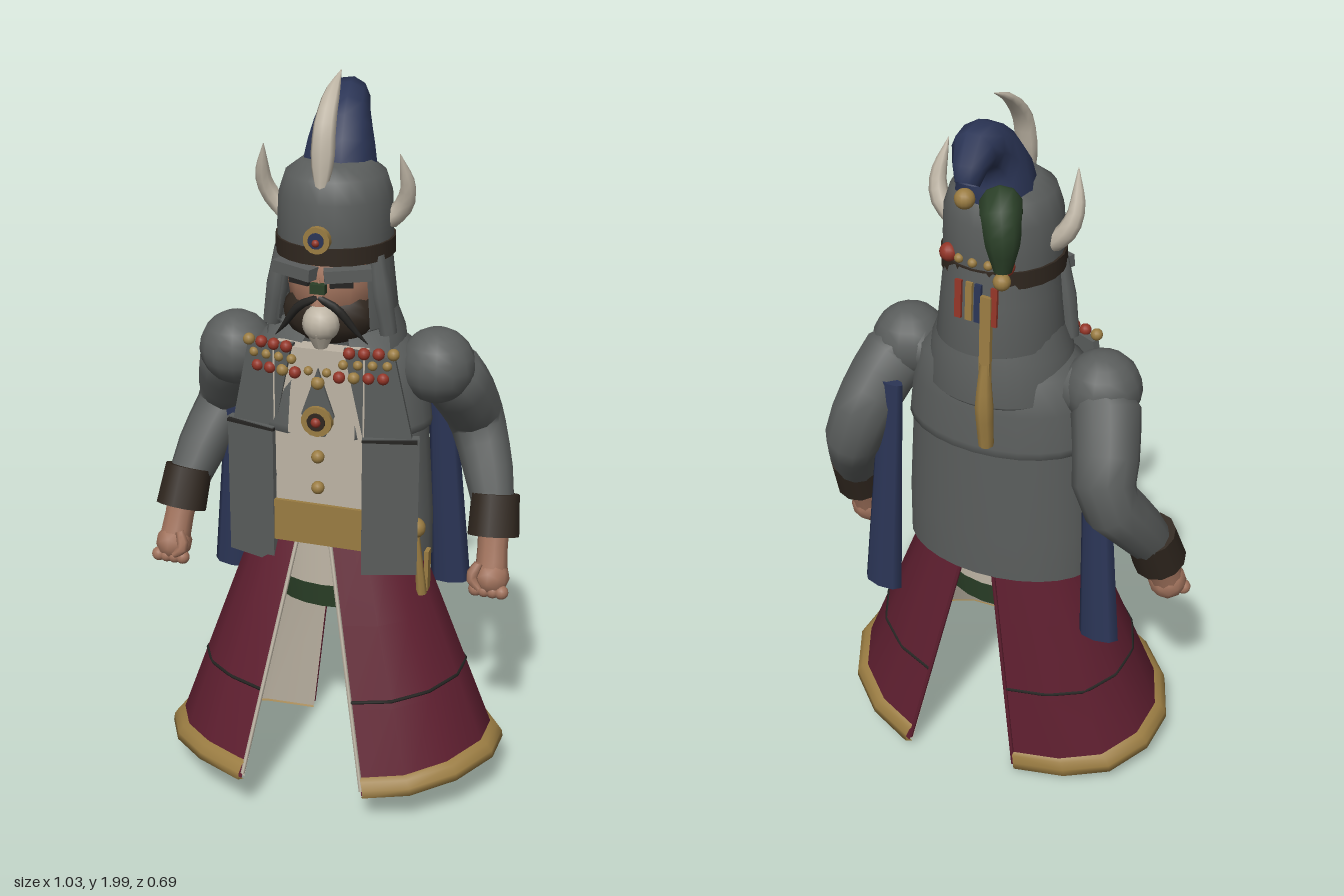
import * as THREE from 'three';
import { mergeVertices } from 'three/addons/utils/BufferGeometryUtils.js';

const V = (p) => new THREE.Vector3(...p);
const V2 = (p) => new THREE.Vector2(...p);
const flat = (name, color) => {
  const m = new THREE.MeshStandardMaterial({ color, side: THREE.DoubleSide });
  m.name = name;
  return m;
};

export function createModel() {
  const grey = flat('grey cloth', 0x5a5d5c), red = flat('wine red', 0x5f1f30);
  const gold = flat('gold', 0x9a7c42), blue = flat('blue', 0x2b3556);
  const cream = flat('cream', 0xbdb4a4), brown = flat('dark brown', 0x30271f);
  const skin = flat('skin', 0xa0725c), green = flat('green', 0x2b4028);
  const bead = flat('bead red', 0x933527), dark = flat('dark line', 0x252422);
  const model = new THREE.Group();

  const add = (name, geo, mat, pos = [0, 0, 0], rot = [0, 0, 0], scale = [1, 1, 1]) => {
    const m = new THREE.Mesh(geo, mat);
    m.name = name;
    m.position.set(...pos);
    m.rotation.set(...rot);
    m.scale.set(...scale);
    model.add(m);
    return m;
  };
  const ball = (name, mat, pos, r, scale) => add(name, new THREE.SphereGeometry(r, 14, 10), mat, pos, [0, 0, 0], scale);
  const box = (name, mat, pos, size, rot) => add(name, new THREE.BoxGeometry(...size), mat, pos, rot);
  const disc = (name, mat, pos, r, d) => add(name, new THREE.CylinderGeometry(r, r, d, 14), mat, pos, [Math.PI / 2, 0, 0]);
  const plate = (name, mat, pts, depth, pos, rot) =>
    add(name, new THREE.ExtrudeGeometry(new THREE.Shape(pts.map(V2)), { depth, bevelEnabled: false }), mat, pos, rot);
  // Tube through points whose radius follows a list
  const limb = (name, mat, pts, radii, sides = 10, n = 14) => {
    const curve = new THREE.CatmullRomCurve3(pts.map(V));
    const geo = new THREE.TubeGeometry(curve, n, 1, sides);
    const p = geo.attributes.position, v = new THREE.Vector3();
    for (let i = 0; i <= n; i++) {
      const c = curve.getPointAt(i / n), f = (i / n) * (radii.length - 1), k = Math.min(Math.floor(f), radii.length - 2);
      const r = Math.max(THREE.MathUtils.lerp(radii[k], radii[k + 1], f - k), 0.0005);
      for (let j = 0; j <= sides; j++) {
        const id = i * (sides + 1) + j;
        v.fromBufferAttribute(p, id).sub(c).multiplyScalar(r).add(c);
        p.setXYZ(id, v.x, v.y, v.z);
      }
    }
    geo.deleteAttribute('uv');
    geo.deleteAttribute('normal');
    const g = mergeVertices(geo, 1e-5);
    g.computeVertexNormals();
    return add(name, g, mat);
  };
  // Lathe with a gap of half-angle "gap" at the front
  const wrap = (name, mat, profile, gap, zScale, z, rotY = 0) =>
    add(name, new THREE.LatheGeometry(profile.map(V2), 24, gap, Math.PI * 2 - 2 * gap),
      mat, [0, 0, z], [0, rotY, 0], [1, 1, zScale]);

  // Skirt halves: sheets between a waist curve and a hem curve
  const skirt = (side, top, hem) => {
    const a = new THREE.CatmullRomCurve3(top.map(V)), b = new THREE.CatmullRomCurve3(hem.map(V));
    const at = (u, t) => a.getPoint(u).lerp(b.getPoint(u), t);
    const N = 7;
    // section: list of [position down the skirt, inset]
    const sheet = (name, mat, section) => {
      const pos = [], idx = [], M = section.length - 1;
      for (let i = 0; i <= N; i++) section.forEach(([t, inset], j) => {
        const q = at(i / N, t);
        pos.push(q.x * (1 - inset), q.y, -0.05 + (q.z + 0.05) * (1 - inset));
        if (i < N && j < M) {
          const k = i * (M + 1) + j, l = k + M + 1;
          if (side > 0) idx.push(k, k + 1, l, k + 1, l + 1, l);
          else idx.push(k, l, k + 1, k + 1, l, l + 1);
        }
      });
      const g = new THREE.BufferGeometry();
      g.setAttribute('position', new THREE.Float32BufferAttribute(pos, 3));
      g.setIndex(idx);
      g.computeVertexNormals();
      add(name, g, mat);
    };
    sheet('skirtCloth', red, [[0, 0], [0.33, 0], [0.66, 0], [1, 0]]);
    sheet('skirtLining', cream, [[0, 0.03], [0.5, 0.03], [1, 0.03]]);
    sheet('skirtHem', gold, [[0.925, 0], [0.935, -0.035], [0.965, -0.05], [0.995, -0.04], [1.01, 0.03]]);
    const row = Array.from({ length: N + 1 }, (_, i) => at(i / N, 0.63));
    add('skirtSeam', new THREE.TubeGeometry(new THREE.CatmullRomCurve3(row, false, 'catmullrom', 0), 28, 0.005, 5), dark);
    for (const u of [0, 1])
      add('skirtEdge', new THREE.TubeGeometry(new THREE.LineCurve3(at(u, 0), at(u, 0.98)), 2, 0.006, 5), u ? red : cream);
  };
  skirt(1,
    [[0.03, 0.77, 0.065], [0.12, 0.77, 0.05], [0.18, 0.77, 0.015], [0.212, 0.77, -0.05], [0.212, 0.77, -0.12], [0.18, 0.77, -0.18], [0.12, 0.77, -0.215], [0.03, 0.77, -0.23]],
    [[0.185, 0.105, 0.265], [0.305, 0.12, 0.235], [0.41, 0.135, 0.15], [0.48, 0.145, 0.03], [0.48, 0.13, -0.1], [0.415, 0.1, -0.22], [0.305, 0.07, -0.3], [0.18, 0.045, -0.335]]);
  skirt(-1,
    [[-0.06, 0.77, 0.07], [-0.13, 0.77, 0.055], [-0.18, 0.77, 0.02], [-0.212, 0.77, -0.04], [-0.212, 0.77, -0.11], [-0.18, 0.77, -0.17], [-0.12, 0.77, -0.205], [-0.035, 0.77, -0.225]],
    [[-0.14, 0.14, 0.33], [-0.275, 0.135, 0.265], [-0.375, 0.12, 0.175], [-0.435, 0.1, 0.06], [-0.435, 0.08, -0.06], [-0.375, 0.055, -0.17], [-0.265, 0.035, -0.23], [-0.125, 0.02, -0.26]]);

  // Tunic under the skirt
  add('tunic', new THREE.CylinderGeometry(0.17, 0.18, 0.2, 20), cream, [0, 0.71, -0.085], [0, 0, 0], [1, 1, 0.72]);
  add('tunicBand', new THREE.CylinderGeometry(0.182, 0.17, 0.07, 20), green, [0, 0.583, -0.085], [0, 0, 0], [1, 1, 0.72]);

  // Coat, jacket and shirt
  wrap('coat', grey, [[0.275, 0.69], [0.273, 0.82], [0.255, 1.09]], 0.5, 0.64, -0.085, 0.06);
  wrap('jacket', grey, [[0.25, 1.08], [0.264, 1.08], [0.262, 1.1], [0.25, 1.2], [0.225, 1.29], [0.16, 1.34], [0.06, 1.36]], 0.35, 0.66, -0.085, 0.06);
  box('shirt', cream, [0, 1.08, 0.045], [0.25, 0.48, 0.05]);
  box('sash', gold, [0, 0.82, 0.05], [0.255, 0.12, 0.06]);
  for (const s of [-1, 1]) {
    box('coatFront', grey, [s * 0.192, 0.89, 0.05], [0.15, 0.4, 0.022], [0, s * 0.3, 0]);
    plate('jacketFront', grey, [[s * 0.068, 1.33], [s * 0.2, 1.31], [s * 0.25, 1.08], [s * 0.12, 1.08]], 0.022, [0, 0, 0.072], [0, s * 0.2, 0]);
    box('jacketSeam', dark, [s * 0.19, 1.083, 0.052], [0.145, 0.008, 0.032], [0, s * 0.22, 0]);
  }
  // Pendant and buttons
  plate('pendantPlate', grey, [[0, 0.1], [0.045, -0.03], [0.02, -0.09], [-0.02, -0.09], [-0.045, -0.03]], 0.008, [0, 1.17, 0.07]);
  disc('pendant', gold, [0, 1.125, 0.08], 0.042, 0.02);
  disc('pendantRing', brown, [0, 1.125, 0.09], 0.025, 0.008);
  ball('pendantStone', bead, [0, 1.125, 0.092], 0.014);
  for (const y of [1.23, 1.02, 0.93]) ball('button', gold, [0, y, 0.076], 0.018);

  // Bead collar in three rows on each side
  for (const s of [-1, 1])
    [[1.322, 0.085], [1.29, 0.07], [1.255, 0.06]].forEach(([y, x0], r) => {
      for (let i = 0; i < 4; i++) {
        const x = x0 + i * 0.037;
        ball('collarBead', r === 1 || i === 3 - r ? gold : bead, [s * x, y, 0.096 - x * 0.22], r === 1 ? 0.013 : 0.016);
      }
    });
  for (const x of [-0.025, 0.025]) ball('collarBead', gold, [x, 1.262, 0.078], 0.012);

  // Arms with cuffs and fists
  const arms = [
    [1, [[0.2, 1.25, -0.1], [0.28, 1.24, -0.11], [0.33, 1.13, -0.205], [0.35, 1.04, -0.262], [0.395, 0.93, -0.215], [0.435, 0.81, -0.15]], [0.445, 0.65, -0.09]],
    [-1, [[-0.2, 1.25, -0.08], [-0.28, 1.24, -0.08], [-0.335, 1.13, -0.155], [-0.36, 1.04, -0.205], [-0.405, 0.93, -0.14], [-0.44, 0.81, -0.06]], [-0.455, 0.66, 0.0]],
  ];
  for (const [s, pts, h] of arms) {
    limb('sleeve', grey, pts, [0.07, 0.09, 0.085, 0.078, 0.07, 0.056], 12, 10);
    ball('shoulder', grey, [s * 0.275, 1.25, pts[1][2] + 0.015], 0.102);
    const c = V(pts[5]), dir = V(h).sub(c).normalize();
    const cuff = add('cuff', new THREE.CylinderGeometry(0.067, 0.072, 0.115, 12), brown, c.toArray());
    cuff.quaternion.setFromUnitVectors(new THREE.Vector3(0, -1, 0), dir);
    limb('wrist', skin, [pts[5], V(h).lerp(c, 0.45).toArray(), h], [0.045, 0.042, 0.045], 10, 4);
    add('fist', new THREE.IcosahedronGeometry(0.052, 1), skin, h);
    for (let i = 0; i < 4; i++) ball('finger', skin, [h[0] - 0.036 + i * 0.024, h[1] - 0.03, h[2] + 0.028], 0.02);
    limb('thumb', skin, [[h[0] - s * 0.03, h[1] + 0.05, h[2] + 0.03], [h[0] - s * 0.045, h[1] + 0.01, h[2] + 0.045], [h[0] - s * 0.02, h[1] - 0.015, h[2] + 0.055]], [0.012, 0.018, 0.008], 7, 5);
  }

  // Hanging blue panels behind the arms
  for (const [x, z] of [[0.285, -0.24], [-0.325, -0.15]]) {
    const s = Math.sign(x);
    add('hangingPanel', new THREE.CylinderGeometry(0.035, 0.058, 0.66, 8), blue, [x - s * 0.01, 0.865, z], [0.04, 0, s * 0.06], [1, 1, 0.5]);
  }

  // Keys on the left hip
  limb('keyRod', gold, [[0.25, 0.8, -0.005], [0.262, 0.7, -0.005], [0.27, 0.61, -0.01]], [0.01, 0.012, 0.015], 7, 4);
  ball('keyKnob', gold, [0.25, 0.81, -0.005], 0.028);
  box('hipTag', gold, [0.277, 0.67, -0.04], [0.012, 0.12, 0.03]);

  // Face, beard and brows
  ball('head', skin, [0, 1.48, -0.06], 0.12, [1, 1.15, 1]);
  ball('beard', brown, [0, 1.395, -0.02], 0.1, [1.25, 0.85, 0.75]);
  ball('beardTuft', cream, [0, 1.385, 0.045], 0.05);
  add('beardTip', new THREE.ConeGeometry(0.04, 0.08, 10), cream, [0, 1.325, 0.05], [Math.PI, 0, 0]);
  add('nose', new THREE.ConeGeometry(0.022, 0.07, 8), skin, [0, 1.475, 0.062]);
  for (const s of [-1, 1]) {
    limb('moustache', dark, [[0, 1.46, 0.07], [s * 0.05, 1.435, 0.07], [s * 0.1, 1.37, 0.055], [s * 0.125, 1.34, 0.045]], [0.009, 0.012, 0.009, 0.001], 7, 8);
    box('brow', grey, [s * 0.07, 1.522, 0.045], [0.12, 0.032, 0.04], [0, s * 0.35, s * 0.05]);
    box('eye', dark, [s * 0.055, 1.495, 0.048], [0.06, 0.016, 0.02], [0, s * 0.35, 0]);
    limb('sideLock', grey, [[s * 0.125, 1.56, -0.02], [s * 0.14, 1.46, -0.02], [s * 0.16, 1.35, -0.025]], [0.022, 0.03, 0.024], 8, 6);
  }
  box('noseBridge', green, [0, 1.485, 0.07], [0.04, 0.025, 0.02]);

  // Hood tiers down the back of the head
  wrap('hood', grey, [[0.14, 1.59], [0.15, 1.5], [0.165, 1.37], [0.15, 1.36]], 0.85, 1.04, -0.09);
  wrap('hoodCape', grey, [[0.15, 1.43], [0.185, 1.34], [0.2, 1.23], [0.19, 1.22]], 1.1, 0.87, -0.09);

  // Helmet with band, badge and studs
  const dome = [[0.15, 1.56], [0.152, 1.62], [0.148, 1.7], [0.13, 1.755], [0.09, 1.785], [0, 1.795]].map(V2);
  add('helmet', new THREE.LatheGeometry(dome, 22), grey, [0, 0, -0.078]);
  add('helmetBand', new THREE.CylinderGeometry(0.157, 0.157, 0.045, 22), brown, [0, 1.57, -0.078]);
  disc('helmetBadge', gold, [0, 1.615, 0.078], 0.035, 0.02);
  disc('badgeInset', blue, [0, 1.615, 0.088], 0.021, 0.008);
  ball('badgeStone', bead, [0, 1.61, 0.091], 0.01);
  for (let i = -2; i <= 2; i++) {
    const a = Math.PI + i * 0.27, big = Math.abs(i) === 2;
    ball('bandStud', big ? bead : gold, [Math.sin(a) * 0.153, 1.61, -0.078 + Math.cos(a) * 0.153], big ? 0.024 : 0.012);
  }

  // Horns and front crest
  for (const s of [-1, 1])
    limb('horn', cream, [[s * 0.14, 1.635, -0.085], [s * 0.175, 1.67, -0.085], [s * 0.193, 1.72, -0.07], [s * 0.18, 1.82, -0.035]], [0.026, 0.025, 0.018, 0.001], 8, 8);
  limb('crest', cream, [[0, 1.72, 0.05], [0, 1.8, 0.035], [0, 1.89, 0.015], [0, 1.96, -0.045], [0, 2.0, -0.12]], [0.008, 0.021, 0.019, 0.014, 0.001], 8, 10).scale.x = 1.55;

  // Two-pointed cap with bells
  limb('blueCap', blue, [[0, 1.74, -0.11], [0, 1.83, -0.125], [-0.005, 1.89, -0.175], [-0.015, 1.905, -0.24], [-0.02, 1.84, -0.28]], [0.105, 0.09, 0.068, 0.055, 0.03], 10, 8);
  ball('blueBell', gold, [-0.02, 1.81, -0.293], 0.025);
  limb('greenCap', green, [[-0.04, 1.73, -0.16], [-0.07, 1.765, -0.215], [-0.088, 1.72, -0.24], [-0.095, 1.62, -0.25]], [0.055, 0.052, 0.045, 0.022], 10, 10);
  ball('greenBell', gold, [-0.095, 1.595, -0.255], 0.022);

  // Ribbons hanging from the back of the helmet
  [[-0.07, bead], [-0.025, blue], [0.0, gold], [0.03, bead]].forEach(([x, m]) =>
    box('ribbon', m, [x, 1.515, -0.25], [0.018, 0.1, 0.008], [0.08, 0, 0]));
  box('longRibbon', gold, [-0.05, 1.42, -0.258], [0.03, 0.24, 0.012], [0.06, 0, 0]);
  limb('ribbonTassel', gold, [[-0.05, 1.36, -0.262], [-0.05, 1.24, -0.27], [-0.05, 1.12, -0.262]], [0.014, 0.024, 0.02], 8, 6);
  return model;
}
